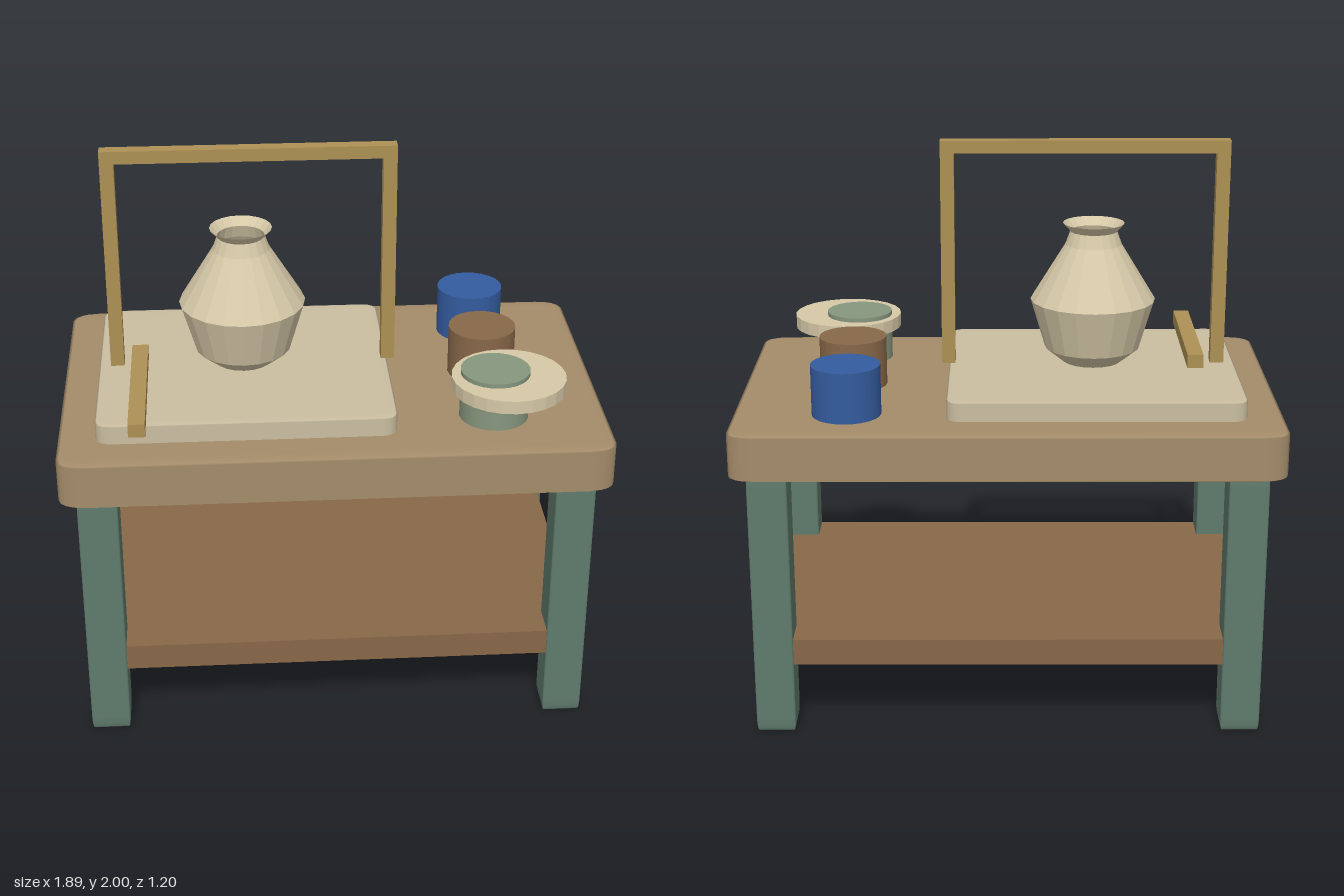
import * as THREE from 'three';
import { RoundedBoxGeometry } from 'three/addons/geometries/RoundedBoxGeometry.js';

const mat = (name, color, opts = {}) => {
  const m = new THREE.MeshStandardMaterial({ color, ...opts });
  m.name = name;
  return m;
};

export function createModel() {
  const wood = mat('table wood', 0xa48c6a);
  const brown = mat('dark wood', 0x886849);
  const green = mat('green paint', 0x5f7a6c);
  const linen = mat('pale board', 0xcabea1);
  const clay = mat('pale clay', 0xd6c9a8, { flatShading: true, side: THREE.DoubleSide });
  const brass = mat('ochre wood', 0xad9155);
  const blue = mat('blue glaze', 0x345c9f);
  const sage = mat('sage glaze', 0x87977e);

  const model = new THREE.Group();
  const add = (name, geometry, material, x, y, z) => {
    const mesh = new THREE.Mesh(geometry, material);
    mesh.name = name;
    mesh.position.set(x, y, z);
    model.add(mesh);
    return mesh;
  };
  // Boxes are given by their extents on each axis
  const mid = ([a, b]) => (a + b) / 2;
  const box = (name, m, x, y, z) =>
    add(name, new THREE.BoxGeometry(x[1] - x[0], y[1] - y[0], z[1] - z[0]), m, mid(x), mid(y), mid(z));
  // A softened unit cube stretched to size, so bevels follow the proportions
  const softCube = new RoundedBoxGeometry(1, 1, 1, 2, 0.05);
  const softBox = (name, m, x, y, z) =>
    add(name, softCube, m, mid(x), mid(y), mid(z)).scale.set(x[1] - x[0], y[1] - y[0], z[1] - z[0]);

  // Table
  softBox('tableTop', wood, [-0.945, 0.945], [0.95, 1.117], [-0.6, 0.6]);
  for (const sx of [-1, 1]) {
    for (const sz of [-1, 1]) {
      softBox('leg', green, [sx * 0.817 - 0.069, sx * 0.817 + 0.069], [0, 0.96], [sz * 0.483 - 0.068, sz * 0.483 + 0.068]);
    }
  }
  box('lowerShelf', brown, [-0.87, 0.87], [0.255, 0.35], [-0.545, 0.545]);

  // Work board
  softBox('workBoard', linen, [-0.816, 0.21], [1.117, 1.188], [-0.46, 0.46]);

  // Open vase
  const profile = [[0, 1.203], [0.105, 1.203], [0.17, 1.256], [0.222, 1.431], [0.1, 1.63], [0.083, 1.677], [0.109, 1.706]];
  add('vase', new THREE.LatheGeometry(profile.map(([r, y]) => new THREE.Vector2(r, y)), 20), clay, -0.303, 0, 0);

  // Measuring frame over the vase
  box('framePost', brass, [-0.775, -0.727], [1.197, 1.955], [-0.024, 0.024]);
  box('framePost', brass, [0.188, 0.236], [1.197, 1.955], [-0.024, 0.024]);
  box('frameBeam', brass, [-0.775, 0.236], [1.955, 2], [-0.024, 0.024]);

  // Loose stick lying on the board
  box('stick', brass, [-0.7, -0.643], [1.188, 1.236], [-0.06, 0.538]);

  // Glaze pots in a row, with a dish over the front one
  const pot = new THREE.CylinderGeometry(0.12, 0.12, 0.178, 24);
  add('bluePot', pot, blue, 0.555, 1.208, -0.36);
  add('brownPot', pot, brown, 0.555, 1.208, -0.016);
  add('sagePot', pot, sage, 0.555, 1.208, 0.327);
  add('dish', new THREE.CylinderGeometry(0.197, 0.197, 0.047, 24), clay, 0.599, 1.258, 0.348);

  return model;
}
